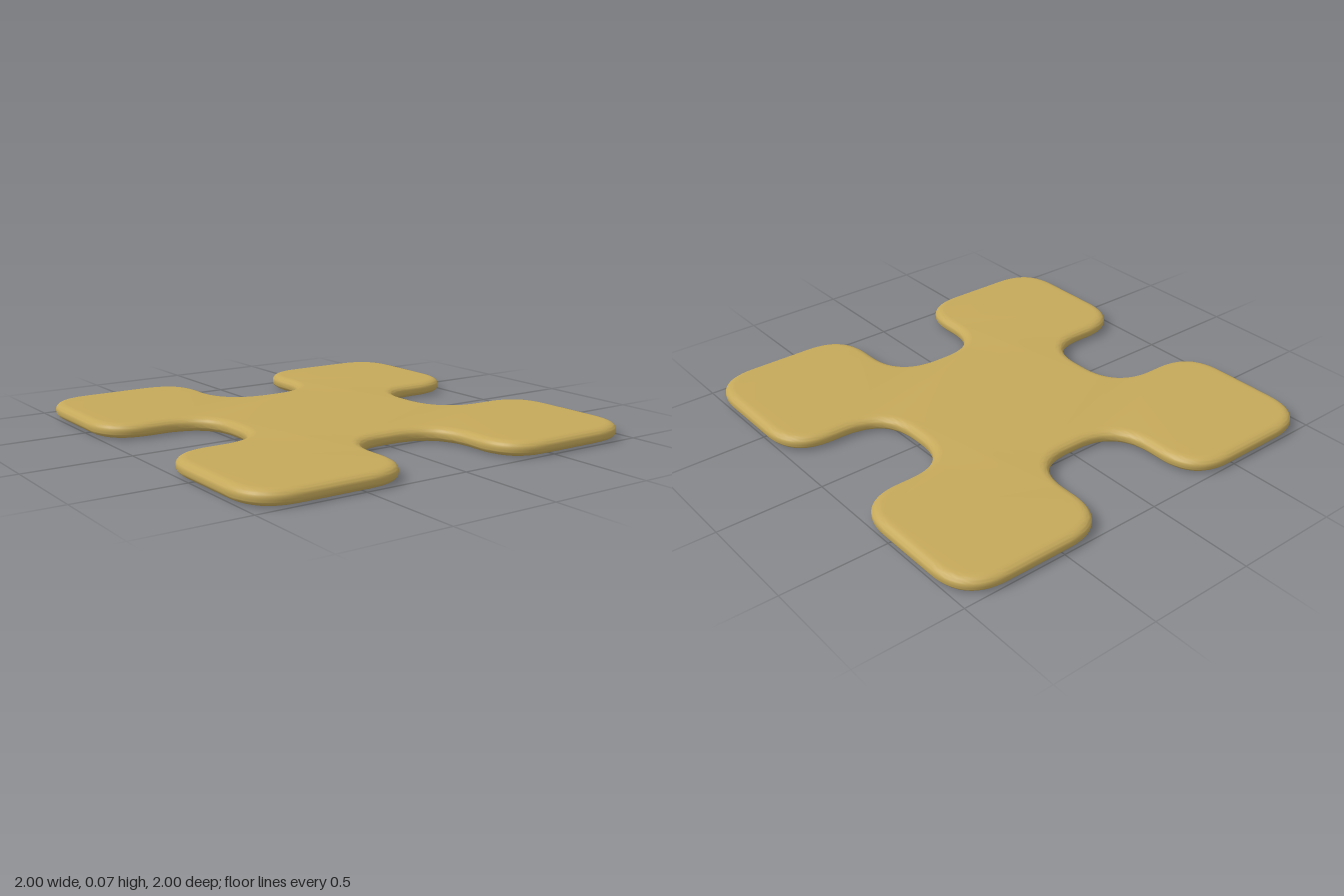
import * as THREE from 'three';
import { toCreasedNormals } from 'three/addons/utils/BufferGeometryUtils.js';

const HEIGHT = 0.07, ROUND = 0.22, BEVEL = 0.045, BEVEL_H = 0.03;

// One quarter of the outline (counter-clockwise), repeated by 90 degree turns
function outlineCorners() {
  const quarter = [[0.5, -0.25], [0.5, 0.25], [1, 0.25], [1, 1], [0.25, 1], [0.25, 0.5]].slice(1, 5);
  const points = [];
  for (let i = 0; i < 4; i++) {
    for (const [x, y] of quarter) {
      points.push(new THREE.Vector2(x, y).rotateAround(new THREE.Vector2(), i * Math.PI / 2));
    }
    // inner corner that closes the notch of this quarter
    if (i < 4) points.push(new THREE.Vector2(0.25, 0.5).rotateAround(new THREE.Vector2(), i * Math.PI / 2));
  }
  return points;
}

// Closed shape whose every corner is softened by a curve
function softShape(corners, round) {
  const shape = new THREE.Shape();
  const n = corners.length;
  corners.forEach((c, i) => {
    const toward = (p) => c.clone().add(p.clone().sub(c).setLength(round));
    const a = toward(corners[(i + n - 1) % n]);
    const b = toward(corners[(i + 1) % n]);
    if (i === 0) shape.moveTo(a.x, a.y);
    else shape.lineTo(a.x, a.y);
    shape.quadraticCurveTo(c.x, c.y, b.x, b.y);
  });
  shape.closePath();
  return shape;
}

export function createModel() {
  const group = new THREE.Group();
  group.name = 'notchedTile';

  // Flat plate with four lobes and a rounded rim
  const plate = new THREE.ExtrudeGeometry(softShape(outlineCorners(), ROUND), {
    depth: HEIGHT - 2 * BEVEL_H,
    bevelEnabled: true,
    bevelThickness: BEVEL_H,
    bevelSize: BEVEL,
    bevelOffset: -BEVEL,
    bevelSegments: 8,
    curveSegments: 14,
  });
  plate.rotateX(-Math.PI / 2);
  plate.translate(0, BEVEL_H, 0);

  const mesh = new THREE.Mesh(
    toCreasedNormals(plate, 0.7),
    new THREE.MeshStandardMaterial({ color: 0xc4a85a })
  );
  mesh.name = 'plate';
  group.add(mesh);
  return group;
}
